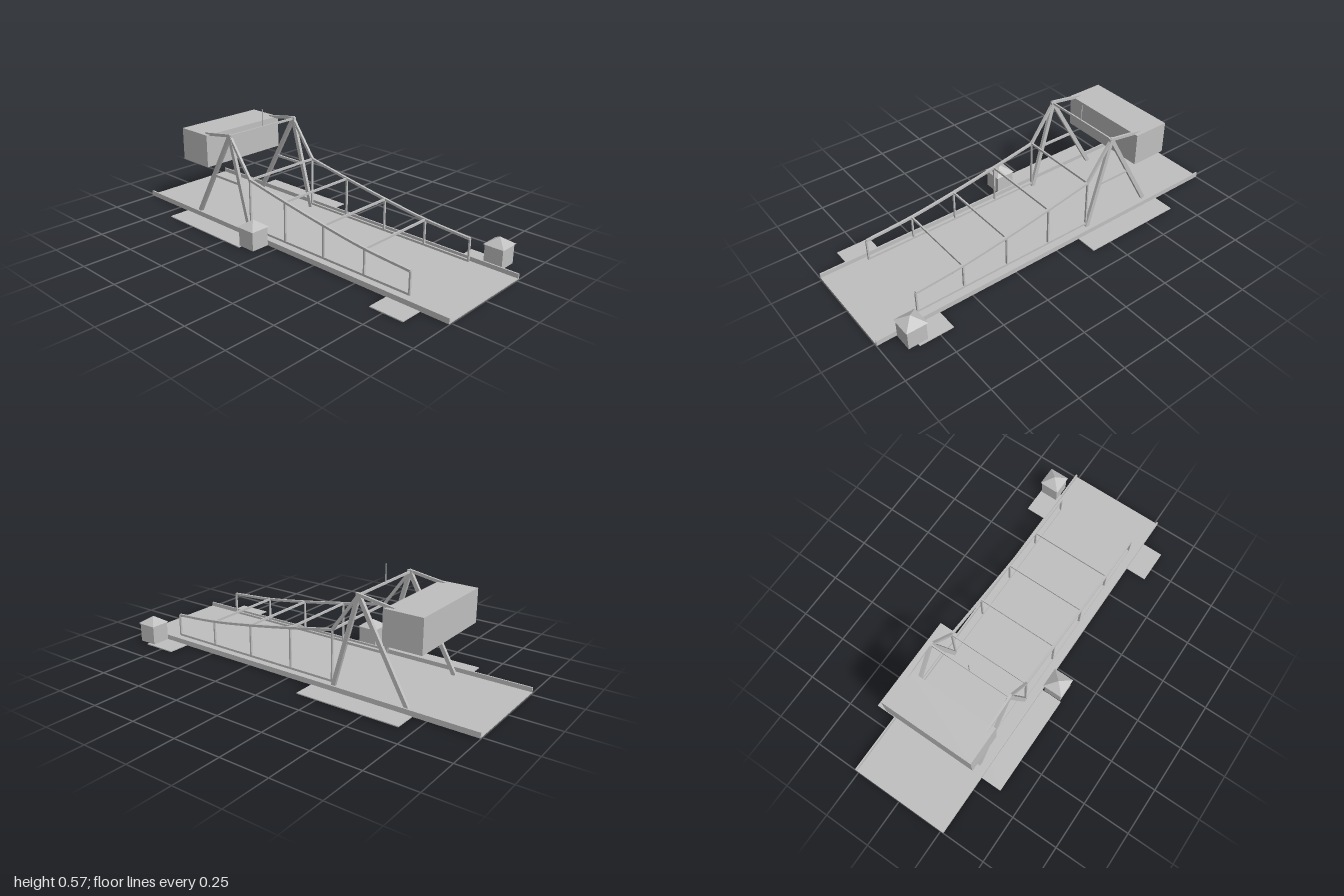
import * as THREE from 'three';

export function createModel() {
  const bridge = new THREE.Group();
  bridge.name = 'drawbridge';
  const steel = new THREE.MeshStandardMaterial({ color: 0xbfbfbf, side: THREE.DoubleSide });
  steel.name = 'lightGrey';

  const add = (name, geometry, x, y, z, parent = bridge) => {
    const mesh = new THREE.Mesh(geometry, steel);
    mesh.name = name;
    mesh.position.set(x, y, z);
    parent.add(mesh);
    return mesh;
  };
  // Box given by its lower and upper corners
  const block = (name, [x0, y0, z0], [x1, y1, z1], parent) =>
    add(name, new THREE.BoxGeometry(x1 - x0, y1 - y0, z1 - z0),
      (x0 + x1) / 2, (y0 + y1) / 2, (z0 + z1) / 2, parent);
  // Straight bar in the xy plane between two points
  const beam = (name, [x0, y0], [x1, y1], width, depth, parent) => {
    const length = Math.hypot(x1 - x0, y1 - y0);
    const mesh = add(name, new THREE.BoxGeometry(length, width, depth),
      (x0 + x1) / 2, (y0 + y1) / 2, 0, parent);
    mesh.rotation.z = Math.atan2(y1 - y0, x1 - x0);
    return mesh;
  };

  // Roadway and the wide foundation slabs beneath it
  block('deck', [-1, 0.003, -0.266], [1, 0.008, 0.266]);
  block('towerFoundation', [-0.68, 0, -0.378], [-0.14, 0.005, 0.378]);
  block('landingFoundation', [0.68, 0, -0.378], [0.855, 0.005, 0.378]);

  const apex = [-0.365, 0.476];
  const chord = [[-0.225, 0.283], [0.02, 0.236], [0.27, 0.193], [0.515, 0.158], [0.765, 0.139]];
  const curve = new THREE.CatmullRomCurve3(chord.map(([x, y]) => new THREE.Vector3(x, y, 0)));

  for (const side of [1, -1]) {
    const label = side > 0 ? 'front' : 'back';
    block(label + 'Curb', [-1, 0.003, side * 0.263 - 0.004], [1, 0.03, side * 0.263 + 0.004]);

    // A-frame tower
    const tower = new THREE.Group();
    tower.name = label + 'Tower';
    tower.position.z = side * 0.219;
    bridge.add(tower);
    beam('rearLeg', [-0.628, 0.008], apex, 0.021, 0.016, tower);
    beam('foreLeg', [-0.233, 0.008], apex, 0.021, 0.016, tower);
    beam('towerTie', [-0.495, 0.24], [-0.3, 0.24], 0.012, 0.01, tower);
    block('apexCap', [-0.378, 0.466, -0.007], [-0.352, 0.485, 0.007], tower);
    const arm = beam('counterweightArm', [-0.55, 0.45], [-0.36, 0.48], 0.015, 0.011, tower);
    arm.position.z = side * 0.003;
    beam('liftingLink', apex, chord[0], 0.014, 0.013, tower);

    // Side truss of the lifting span
    const truss = new THREE.Group();
    truss.name = label + 'Truss';
    truss.position.z = side * 0.219;
    bridge.add(truss);
    const points = curve.getPoints(16);
    for (let i = 0; i < 16; i++) {
      const a = points[i], b = points[i + 1];
      beam('topChord', [a.x, a.y], [b.x, b.y], 0.012, 0.012, truss);
    }
    block('bottomChord', [-0.229, 0.025, -0.005], [0.769, 0.036, 0.005], truss);
    for (const [x, y] of chord)
      block('post', [x - 0.004, 0.025, -0.005], [x + 0.004, y, 0.005], truss);
  }

  // Cross bars joining the two sides
  for (const [x, y] of [apex, ...chord.slice(0, 4)])
    block('crossBar', [x - 0.004, y - 0.006, -0.214], [x + 0.004, y + 0.005, 0.214]);

  block('counterweight', [-0.707, 0.284, -0.248], [-0.513, 0.453, 0.248]);
  block('mast', [-0.367, 0.478, -0.002], [-0.363, 0.567, 0.002]);

  // Keeper's huts: open-bottomed walls with a pyramid roof
  for (const [x, z] of [[-0.092, 0.324], [0.857, -0.324]]) {
    const hut = new THREE.Group();
    hut.name = 'keeperHut';
    hut.position.set(x, 0, z);
    bridge.add(hut);
    const foursided = (top, bottom, h) =>
      new THREE.CylinderGeometry(top * Math.SQRT2, bottom * Math.SQRT2, h, 4, 1, true)
        .rotateY(Math.PI / 4).toNonIndexed();
    const walls = foursided(0.048, 0.048, 0.099);
    const roof = foursided(0, 0.054, 0.037);
    walls.computeVertexNormals();
    roof.computeVertexNormals();
    add('hutWalls', walls, 0, 0.0595, 0, hut);
    add('hutRoof', roof, 0, 0.1265, 0, hut);
  }
  return bridge;
}
